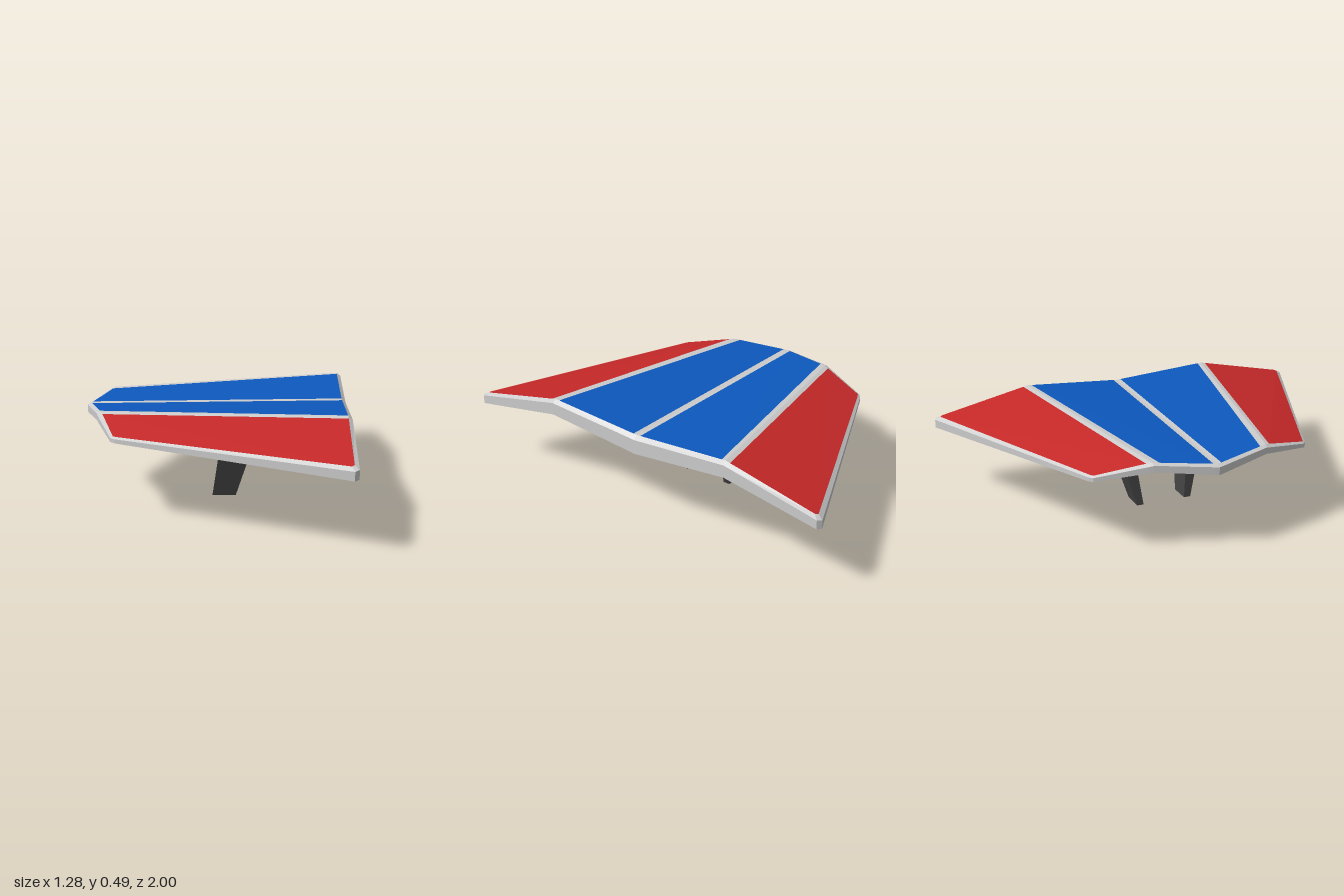
import * as THREE from 'three';

const mat = (name, color) => Object.assign(new THREE.MeshStandardMaterial({ color }), { name });

// Half-wing plan [x, z], from the nose round the tip to the tail:
// edge of the flat skin, and the outer rim beside it
const inner = [[-0.625, 0], [-0.62, 0.02], [-0.55, 0.255], [-0.54, 0.288], [-0.53, 0.312], [-0.453, 0.537], [-0.435, 0.547],
  [0.608, 0.973], [0.62, 0.962], [0.62, 0.525], [0.62, 0.501], [0.62, 0.48], [0.62, 0.02], [0.62, 0]];
const outer = [[-0.645, 0], [-0.64, 0.02], [-0.57, 0.255], [-0.561, 0.285], [-0.552, 0.312], [-0.465, 0.54], [-0.443, 0.557],
  [0.62, 1], [0.64, 0.985], [0.64, 0.527], [0.64, 0.504], [0.64, 0.482], [0.64, 0.02], [0.64, 0]];

// Heights along the three ribs (centre, fold, tip edge): [front, back]
const topRibs = [[0.43, 0.457], [0.45, 0.492], [0.392, 0.386]];
const lowRibs = [[0.375, 0.354], [0.405, 0.405], [0.364, 0.325]];
const ribStart = [-0.63, -0.56, -0.45];

function height(ribs, [x, z]) {
  const y = ribs.map(([a, b], i) => a + (b - a) * (x - ribStart[i]) / (0.63 - ribStart[i]));
  const foldZ = 0.288 + (x + 0.54) * 0.1836;
  const tipZ = 0.55 + (x + 0.45) * 0.407;
  return z < foldZ
    ? y[0] + (y[1] - y[0]) * z / foldZ
    : y[1] + (y[2] - y[1]) * (z - foldZ) / (tipZ - foldZ);
}

// Skin points, and rim points pulled together to form the bevel
const at = (p, y) => [p[0], y, p[1]];
const skinTop = inner.map((p) => at(p, height(topRibs, p)));
const skinLow = inner.map((p) => at(p, height(lowRibs, p)));
const rim = (share) => outer.map((p) => {
  const t = height(topRibs, p), b = height(lowRibs, p);
  return at(p, b + (t - b) * share);
});
const rimTop = rim(0.82), rimLow = rim(0.12);

// Flat-shaded faces from convex polygons, mirrored to both sides
function facesGeometry(polygons) {
  const pos = [];
  for (const side of [1, -1]) {
    for (const poly of polygons) {
      for (let i = 1; i < poly.length - 1; i++) {
        const tri = [poly[0], poly[i], poly[i + 1]];
        if (side < 0) tri.reverse();
        for (const [x, y, z] of tri) pos.push(x, y, z * side);
      }
    }
  }
  const g = new THREE.BufferGeometry();
  g.setAttribute('position', new THREE.Float32BufferAttribute(pos, 3));
  g.computeVertexNormals();
  return g;
}

// One skin piece on the upper and the lower surface
const skin = (...ids) => [ids.map((i) => skinTop[i]), ids.map((i) => skinLow[i]).reverse()];

export function createModel() {
  const model = new THREE.Group();
  model.name = 'wing';
  const grey = mat('light grey', 0xcccccc);
  const blue = mat('blue', 0x0d58bd);
  const red = mat('red', 0xc62828);
  const dark = mat('dark grey', 0x424242);

  const add = (name, geometry, material) => {
    const mesh = new THREE.Mesh(geometry, material);
    mesh.name = name;
    model.add(mesh);
    return mesh;
  };

  // Grey frame: stripes along the ribs, bevelled rim and edge
  const frame = [...skin(0, 1, 12, 13), ...skin(2, 3, 10, 11), ...skin(3, 4, 9, 10)];
  for (let i = 0; i < outer.length - 1; i++) {
    const j = i + 1;
    frame.push(
      [skinTop[i], rimTop[i], rimTop[j], skinTop[j]],
      [rimTop[i], rimLow[i], rimLow[j], rimTop[j]],
      [rimLow[i], skinLow[i], skinLow[j], rimLow[j]],
    );
  }
  add('frame', facesGeometry(frame), grey);

  // Coloured panels
  add('innerPanels', facesGeometry(skin(1, 2, 11, 12)), blue);
  add('outerPanels', facesGeometry(skin(4, 5, 6, 7, 8, 9)), red);

  // Two tapered, splayed fins under the wing
  for (const side of [1, -1]) {
    const g = new THREE.BoxGeometry(1, 1, 1).toNonIndexed();
    const p = g.attributes.position;
    for (let i = 0; i < p.count; i++) {
      const up = p.getY(i) > 0;
      const back = p.getX(i) > 0;
      const out = p.getZ(i) * side > 0;
      const x = up ? (back ? 0.22 : 0.042) : (back ? 0.1 : -0.015);
      const z = up ? (out ? 0.25 : 0.16) : (out ? 0.147 : 0.112);
      p.setXYZ(i, x, up ? 0.385 : 0, z * side);
    }
    g.computeVertexNormals();
    add(side > 0 ? 'frontFin' : 'backFin', g, dark);
  }
  return model;
}
